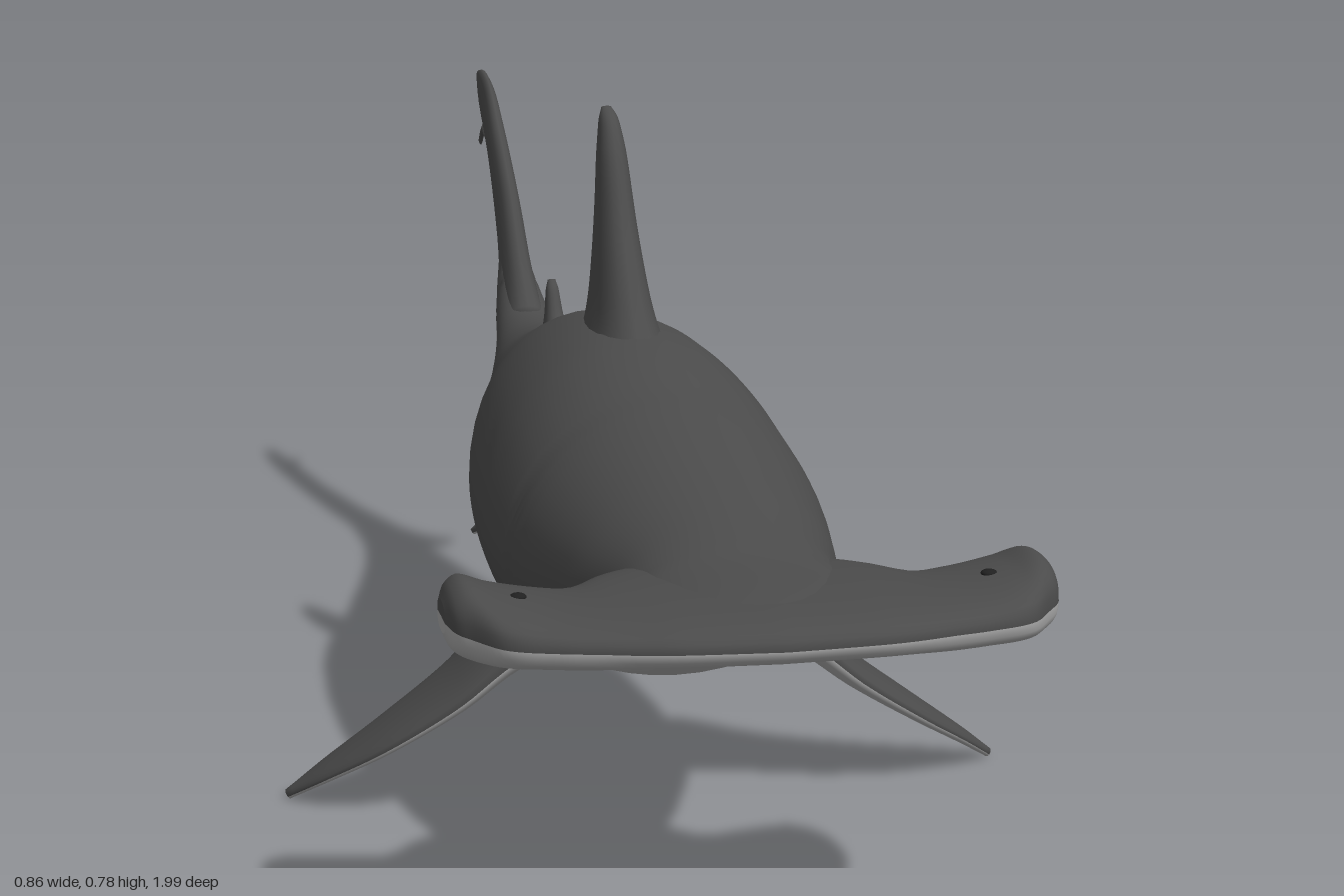
import * as THREE from 'three';

const dark = new THREE.MeshStandardMaterial({ color: 0x4b4b4b });
dark.name = 'dark grey skin';
const light = new THREE.MeshStandardMaterial({ color: 0xa8a8a8 });
light.name = 'pale belly';
const black = new THREE.MeshStandardMaterial({ color: 0x202020 });
black.name = 'near black';

// Interpolate the rows of a table by its first column, smoothly or linearly
function sample(table, t, smooth = true) {
  let i = 0;
  while (i < table.length - 2 && t > table[i + 1][0]) i++;
  const a = table[i], b = table[i + 1], h = b[0] - a[0];
  const u = THREE.MathUtils.clamp((t - a[0]) / h, 0, 1);
  const p = table[i - 1] || a, n = table[i + 2] || b;
  return a.slice(1).map((_, k) => {
    const c = k + 1;
    if (!smooth) return a[c] + (b[c] - a[c]) * u;
    const m0 = (b[c] - p[c]) / (b[0] - p[0]) * h, m1 = (n[c] - a[c]) / (n[0] - a[0]) * h;
    const u2 = u * u, u3 = u2 * u;
    return (2 * u3 - 3 * u2 + 1) * a[c] + (u3 - 2 * u2 + u) * m0 + (3 * u2 - 2 * u3) * b[c] + (u3 - u2) * m1;
  });
}

// Skin closed rings; the first `split` strips use material 0, the rest material 1
function loft(name, rings, split, materials) {
  const n = rings[0].length;
  const centre = (r) => {
    const c = r.reduce((s, p) => s.add(p), new THREE.Vector3()).divideScalar(n);
    return r.map(() => c);
  };
  const all = [centre(rings[0]), ...rings, centre(rings[rings.length - 1])];
  const pts = all.flat();
  const faces = [[], []];
  let volume = 0;
  for (let i = 0; i < all.length - 1; i++) {
    for (let j = 0; j < n; j++) {
      const k = (j + 1) % n;
      const a = i * n + j, b = i * n + k, c = a + n, d = b + n;
      for (const t of [[a, b, c], [b, d, c]]) {
        faces[j < split ? 0 : 1].push(t);
        volume += pts[t[0]].dot(pts[t[1]].clone().cross(pts[t[2]]));
      }
    }
  }
  // Turn the faces outward
  if (volume < 0) faces.flat().forEach((t) => t.reverse());
  const geo = new THREE.BufferGeometry().setFromPoints(pts);
  geo.setIndex(faces.flat(2));
  geo.addGroup(0, faces[0].length * 3, 0);
  geo.addGroup(faces[0].length * 3, faces[1].length * 3, 1);
  geo.computeVertexNormals();
  const mesh = new THREE.Mesh(geo, materials);
  mesh.name = name;
  return mesh;
}

// Body: z, bottom, top, half width
const BODY = [
  [-0.72, 0.43, 0.52, 0.015], [-0.64, 0.365, 0.455, 0.033], [-0.55, 0.335, 0.41, 0.047],
  [-0.4, 0.295, 0.42, 0.077], [-0.2, 0.22, 0.47, 0.122], [0, 0.165, 0.52, 0.168],
  [0.2, 0.147, 0.53, 0.187], [0.4, 0.168, 0.495, 0.187], [0.6, 0.235, 0.455, 0.152],
  [0.7, 0.275, 0.435, 0.128], [0.77, 0.305, 0.42, 0.124], [0.8, 0.335, 0.413, 0.122],
  [0.9, 0.345, 0.4, 0.11], [0.97, 0.36, 0.385, 0.05],
];
// Height where the pale belly begins along the body
const BELLY = [
  [-0.67, 0.3], [-0.65, 0.4], [-0.6, 0.385], [-0.4, 0.34], [-0.2, 0.312], [0, 0.295],
  [0.1, 0.265], [0.2, 0.21], [0.26, 0.175], [0.39, 0.185], [0.42, 0.27], [0.45, 0.295],
  [0.6, 0.315], [0.78, 0.355], [0.97, 0.365],
];

function bodyPoint(z, angle) {
  const [bottom, top, w] = sample(BODY, z);
  const mid = bottom + (top - bottom) * 0.43;
  const s = Math.sin(angle);
  return new THREE.Vector3(Math.cos(angle) * w, mid + s * (s > 0 ? top - mid : mid - bottom), z);
}

function buildBody() {
  const rings = [], upper = 24, lower = 20, steps = 130;
  for (let i = 0; i <= steps; i++) {
    const z = -0.72 + 1.69 * i / steps;
    const [bottom, top] = sample(BODY, z);
    const mid = bottom + (top - bottom) * 0.43;
    const d = sample(BELLY, z, false)[0] - mid;
    const phi = Math.asin(THREE.MathUtils.clamp(d / (d > 0 ? top - mid : mid - bottom), -0.98, 0.9));
    const ring = [];
    for (let j = 0; j < upper; j++) ring.push(bodyPoint(z, phi + (Math.PI - 2 * phi) * j / upper));
    for (let j = 0; j < lower; j++) ring.push(bodyPoint(z, Math.PI - phi + (Math.PI + 2 * phi) * j / lower));
    rings.push(ring);
  }
  return loft('body', rings, upper, [dark, light]);
}

// Hammer head: |x|, back z, front z, middle y, top y, bottom y
const HAMMER = [
  [0, 0.7, 0.992, 0.368, 0.4, 0.338], [0.1, 0.7, 0.984, 0.368, 0.398, 0.337],
  [0.14, 0.72, 0.974, 0.367, 0.396, 0.336], [0.18, 0.762, 0.963, 0.367, 0.394, 0.335],
  [0.22, 0.757, 0.953, 0.367, 0.396, 0.335], [0.27, 0.75, 0.935, 0.368, 0.405, 0.335],
  [0.298, 0.758, 0.9, 0.37, 0.414, 0.337], [0.312, 0.775, 0.88, 0.372, 0.406, 0.345],
  [0.319, 0.8, 0.855, 0.375, 0.392, 0.36],
];

function buildHammer() {
  const rings = [], n = 32, steps = 80;
  for (let i = 0; i <= steps; i++) {
    const x = 0.319 * Math.sin((i / steps - 0.5) * Math.PI);
    const [back, front, mid, top, bottom] = sample(HAMMER, Math.abs(x));
    rings.push(Array.from({ length: n }, (_, j) => {
      const a = j / n * Math.PI * 2, s = Math.sin(a);
      const rise = Math.sign(s) * Math.abs(s) ** 0.75;
      const y = mid + rise * (s > 0 ? top - mid : mid - bottom);
      return new THREE.Vector3(x, y, (back + front) / 2 + Math.cos(a) * (front - back) / 2);
    }));
  }
  return loft('hammerHead', rings, n / 2, [dark, light]);
}

// Fin skinned between a leading and a trailing edge, thickness from root to tip
function fin(name, lead, trail, thick, normal = [1, 0, 0], materials = [dark, dark]) {
  const curve = (pts) => new THREE.CatmullRomCurve3(pts.map((p) => new THREE.Vector3(...p)));
  const le = curve(lead), te = curve(trail), up = new THREE.Vector3(...normal).normalize();
  const rings = [], n = 20, steps = 28;
  for (let i = 0; i <= steps; i++) {
    const t = i / steps, a = le.getPoint(t), b = te.getPoint(t);
    const h = THREE.MathUtils.lerp(thick[0], thick[1], Math.sqrt(t));
    rings.push(Array.from({ length: n }, (_, j) => {
      const ang = j / n * Math.PI * 2, c = Math.cos(ang);
      return a.clone().lerp(b, 0.5 - c / 2).addScaledVector(up, Math.sin(ang) * h * (1 + 0.3 * c));
    }));
  }
  return loft(name, rings, n / 2, materials);
}
// Upright fins are outlined by [z, y] pairs in the middle plane
const flat = (pts) => pts.map(([z, y]) => [0, y, z]);
const uprightFin = (name, lead, trail, thick) => fin(name, flat(lead), flat(trail), thick);

export function createModel() {
  const shark = new THREE.Group();
  shark.name = 'hammerheadShark';
  shark.add(buildBody(), buildHammer());

  shark.add(uprightFin('dorsalFin',
    [[0.25, 0.5], [0.2, 0.56], [0.14, 0.645], [0.09, 0.735], [0.06, 0.77], [0.035, 0.779]],
    [[-0.02, 0.5], [-0.005, 0.555], [0.012, 0.63], [0.02, 0.71], [0.02, 0.755], [0.025, 0.773]], [0.055, 0.006]));
  shark.add(uprightFin('rearDorsalFin',
    [[-0.29, 0.42], [-0.33, 0.45], [-0.352, 0.482], [-0.362, 0.492]],
    [[-0.41, 0.41], [-0.38, 0.437], [-0.377, 0.475], [-0.372, 0.488]], [0.022, 0.005]));
  shark.add(uprightFin('analFin',
    [[-0.35, 0.32], [-0.39, 0.275], [-0.425, 0.247], [-0.447, 0.236]],
    [[-0.45, 0.32], [-0.435, 0.285], [-0.443, 0.262], [-0.45, 0.242]], [0.018, 0.004]));
  shark.add(uprightFin('upperTailLobe',
    [[-0.54, 0.4], [-0.635, 0.48], [-0.715, 0.56], [-0.82, 0.635], [-0.9, 0.685], [-0.97, 0.7], [-0.998, 0.697]],
    [[-0.64, 0.35], [-0.71, 0.36], [-0.75, 0.43], [-0.83, 0.53], [-0.91, 0.59], [-0.965, 0.63], [-0.985, 0.67]],
    [0.032, 0.006]));
  shark.add(uprightFin('lowerTailLobe',
    [[-0.57, 0.4], [-0.605, 0.345], [-0.637, 0.265], [-0.685, 0.205], [-0.738, 0.168]],
    [[-0.73, 0.42], [-0.708, 0.34], [-0.707, 0.28], [-0.72, 0.22], [-0.742, 0.172]], [0.026, 0.005]));
  shark.add(uprightFin('tailSpur',
    [[-0.94, 0.63], [-0.975, 0.61], [-0.998, 0.594]],
    [[-0.94, 0.6], [-0.972, 0.602], [-0.994, 0.584]], [0.006, 0.003]));

  for (const s of [1, -1]) {
    const side = s > 0 ? 'left' : 'right';
    const mirror = (pts) => pts.map(([x, y, z]) => [x * s, y, z]);
    shark.add(fin(side + 'PectoralFin',
      mirror([[0.1, 0.225, 0.43], [0.17, 0.195, 0.408], [0.24, 0.14, 0.4], [0.32, 0.085, 0.375], [0.385, 0.04, 0.33], [0.428, 0.006, 0.285]]),
      mirror([[0.1, 0.225, 0.2], [0.17, 0.195, 0.205], [0.23, 0.15, 0.245], [0.31, 0.095, 0.263], [0.38, 0.045, 0.265], [0.427, 0.01, 0.27]]),
      [0.034, 0.005], [0.58 * s, 0.81, 0], [dark, light]));
    shark.add(fin(side + 'PelvicFin',
      mirror([[0.05, 0.25, -0.1], [0.085, 0.225, -0.14], [0.115, 0.2, -0.18], [0.133, 0.184, -0.212]]),
      mirror([[0.05, 0.25, -0.2], [0.085, 0.235, -0.192], [0.115, 0.21, -0.207], [0.132, 0.187, -0.219]]),
      [0.016, 0.004], [0.6 * s, 0.8, 0], [dark, light]));
    // Eye on the raised end of the head
    const eye = new THREE.Mesh(new THREE.SphereGeometry(0.009, 12, 8), black);
    eye.name = side + 'Eye';
    eye.scale.y = 0.5;
    eye.position.set(0.245 * s, 0.399, 0.855);
    shark.add(eye);
  }

  // Curved mouth line under the head
  const lip = [];
  for (let i = -6; i <= 6; i++) lip.push(bodyPoint(0.79 - 0.09 * (i / 6) ** 2, -Math.PI / 2 + i / 6 * 1.05));
  const mouth = new THREE.Mesh(new THREE.TubeGeometry(new THREE.CatmullRomCurve3(lip), 40, 0.006, 8), black);
  mouth.name = 'mouth';
  shark.add(mouth);

  // Dark patch between the pelvic fins
  const vent = new THREE.Mesh(new THREE.SphereGeometry(0.022, 16, 10), dark);
  vent.name = 'ventPatch';
  vent.scale.set(0.8, 0.25, 1.2);
  vent.position.copy(bodyPoint(-0.17, -Math.PI / 2));
  vent.rotation.x = 0.28;
  shark.add(vent);
  return shark;
}
